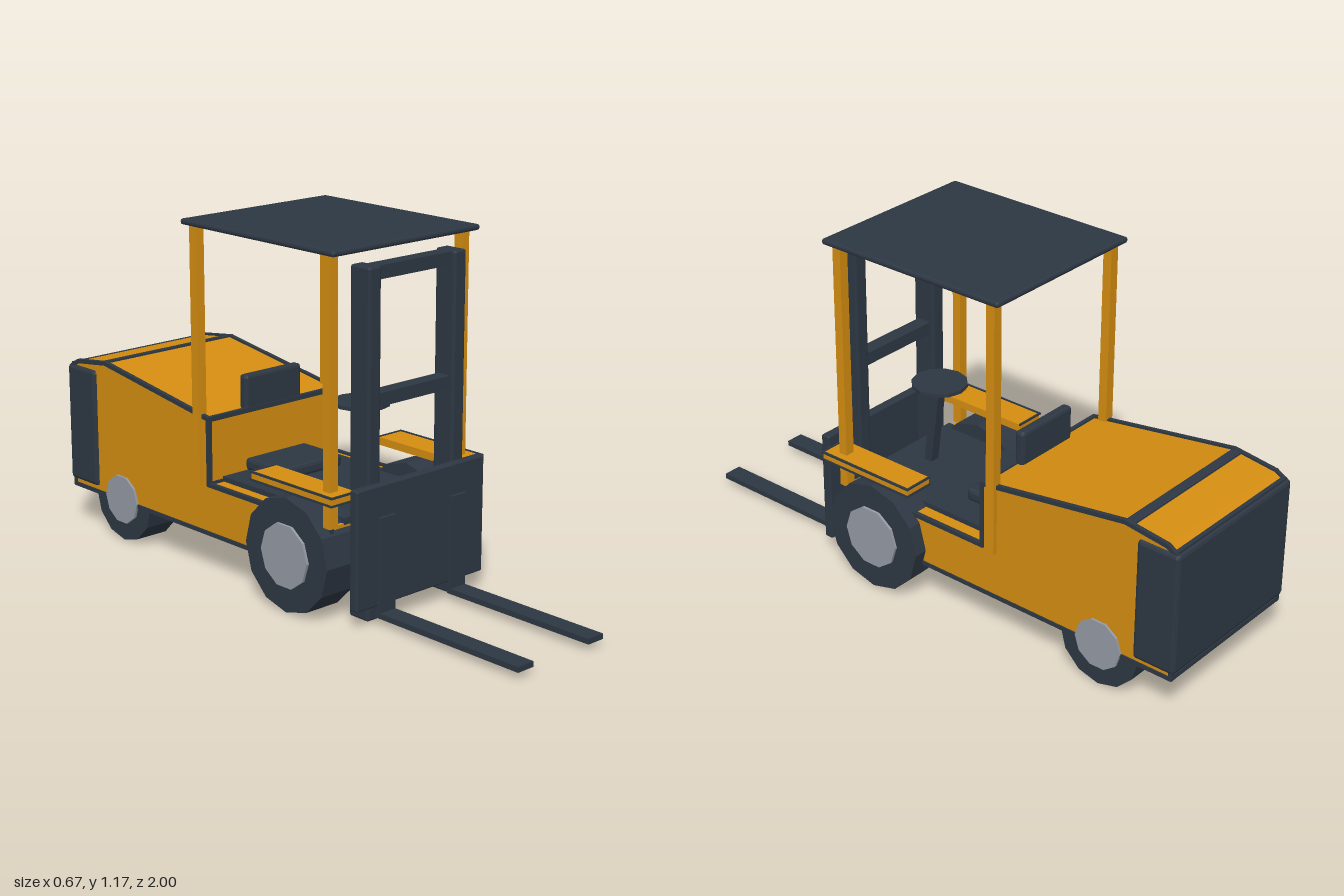
import * as THREE from 'three';
import { RoundedBoxGeometry } from 'three/addons/geometries/RoundedBoxGeometry.js';

const mat = (name, color, flatShading = false) => {
  const m = new THREE.MeshStandardMaterial({ color, flatShading });
  m.name = name;
  return m;
};

export function createModel() {
  const root = new THREE.Group();
  root.name = 'forklift';
  const orange = mat('orangePaint', 0xd48d10, true);
  const dark = mat('darkSteel', 0x2d3743, true);
  const grey = mat('rimGrey', 0x949aa4, true);

  const add = (name, geo, material, parent = root) => {
    const mesh = new THREE.Mesh(geo, material);
    mesh.name = name;
    parent.add(mesh);
    return mesh;
  };
  // Box from its min and max corners, optionally with softened edges
  const box = (name, material, x0, x1, y0, y1, z0, z1, r = 0) => {
    const s = [x1 - x0, y1 - y0, z1 - z0];
    const geo = r ? new RoundedBoxGeometry(...s, 1, r) : new THREE.BoxGeometry(...s);
    const mesh = add(name, geo, material);
    mesh.position.set((x0 + x1) / 2, (y0 + y1) / 2, (z0 + z1) / 2);
    return mesh;
  };
  // Bar lying along a segment of the side profile, [z, y] to [z, y]
  const bar = (name, material, a, b, x, width, thick) => {
    const dz = b[0] - a[0], dy = b[1] - a[1];
    const mesh = add(name, new THREE.BoxGeometry(width, thick, Math.hypot(dz, dy) + thick * 0.6), material);
    mesh.position.set(x, (a[1] + b[1]) / 2, (a[0] + b[0]) / 2);
    mesh.rotation.x = -Math.atan2(dy, dz);
  };

  // Chassis and engine cover: side profile as [z, y], extruded across x
  const profile = [
    [0.31, 0.14], [0.31, 0.305], [-0.262, 0.305], [-0.262, 0.525],
    [-0.8, 0.605], [-0.95, 0.585], [-0.985, 0.565], [-0.985, 0.14],
  ];
  const half = 0.278;
  const shape = new THREE.Shape(profile.map(([z, y]) => new THREE.Vector2(-z, y)));
  const body = new THREE.ExtrudeGeometry(shape, { depth: half * 2, bevelEnabled: false });
  body.translate(0, 0, -half).rotateY(Math.PI / 2);
  add('body', body, orange);

  // Dark trim along both side outlines
  profile.forEach((a, i) => {
    const b = profile[(i + 1) % profile.length];
    for (const s of [-1, 1]) bar('bodyTrim', dark, a, b, s * 0.275, 0.014, 0.014);
  });
  // Dark trim across the width
  for (const [z, y] of [[-0.262, 0.525], [-0.982, 0.57], [-0.982, 0.142], [-0.262, 0.307]])
    box('crossTrim', dark, -half, half, y - 0.009, y + 0.007, z - 0.007, z + 0.007);
  bar('hoodBand', dark, [-0.80, 0.605], [-0.825, 0.602], 0, 0.56, 0.01);

  // Rear counterweight panel
  box('counterweight', dark, -0.289, 0.289, 0.16, 0.57, -1, -0.85, 0.012);

  // Operator station
  box('floorPlate', dark, -0.22, 0.22, 0.3, 0.322, -0.26, 0.31);
  box('seat', dark, -0.13, 0.13, 0.325, 0.368, -0.255, -0.07, 0.012);
  box('seatBack', dark, -0.12, 0.12, 0.52, 0.64, -0.292, -0.258, 0.01);
  bar('steeringColumn', dark, [0.195, 0.32], [0.157, 0.61], 0, 0.034, 0.03);
  const wheel = add('steeringWheel', new THREE.CylinderGeometry(0.092, 0.092, 0.012, 12), dark);
  wheel.position.set(0, 0.615, 0.155);

  // Roof and mast cross beams
  box('roof', dark, -0.31, 0.31, 1.148, 1.167, -0.345, 0.357, 0.007);
  box('mastTopBeam', dark, -0.16, 0.16, 1.065, 1.107, 0.335, 0.385);
  box('mastMiddleBeam', dark, -0.16, 0.16, 0.675, 0.717, 0.335, 0.385);
  box('mastBottomBeam', dark, -0.16, 0.16, 0.08, 0.13, 0.335, 0.385);
  box('carriage', dark, -0.275, 0.275, 0.06, 0.445, 0.393, 0.425, 0.005);

  // Parts mirrored on each side
  const pair = (name, material, x0, x1, ...rest) => {
    box(name, material, x0, x1, ...rest);
    box(name, material, -x1, -x0, ...rest);
  };
  pair('mastUpright', dark, 0.155, 0.205, 0.005, 1.11, 0.318, 0.4, 0.007);
  pair('forkBlade', dark, 0.122, 0.187, 0.022, 0.04, 0.42, 1);
  pair('forkShank', dark, 0.122, 0.187, 0.022, 0.345, 0.42, 0.436);
  pair('frontPost', orange, 0.261, 0.294, 0.305, 1.15, 0.295, 0.326);
  pair('rearPost', orange, 0.261, 0.294, 0.3, 1.15, -0.32, -0.289);

  // Fenders: orange slabs with dark edging
  pair('fender', orange, 0.224, 0.326, 0.396, 0.422, 0.004, 0.368);
  for (const y of [0.394, 0.419]) {
    pair('fenderEdge', dark, 0.323, 0.33, y, y + 0.006, 0, 0.372);
    for (const z of [0, 0.366]) pair('fenderEdge', dark, 0.222, 0.33, y, y + 0.006, z, z + 0.006);
  }

  // Wheels: tyre with a slightly proud rim disc
  const addWheel = (name, s, outer, width, y, z, r, rimR) => {
    const g = new THREE.Group();
    g.name = name;
    g.position.set(s * (outer - width / 2), y, z);
    root.add(g);
    add('tyre', new THREE.CylinderGeometry(r, r, width, 12).rotateZ(Math.PI / 2), dark, g);
    add('rim', new THREE.CylinderGeometry(rimR, rimR, width + 0.018, 10).rotateZ(Math.PI / 2), grey, g);
  };
  for (const s of [-1, 1]) {
    addWheel('frontWheel', s, 0.325, 0.13, 0.188, 0.16, 0.187, 0.106);
    addWheel('rearWheel', s, 0.277, 0.12, 0.146, -0.72, 0.146, 0.085);
  }
  return root;
}
